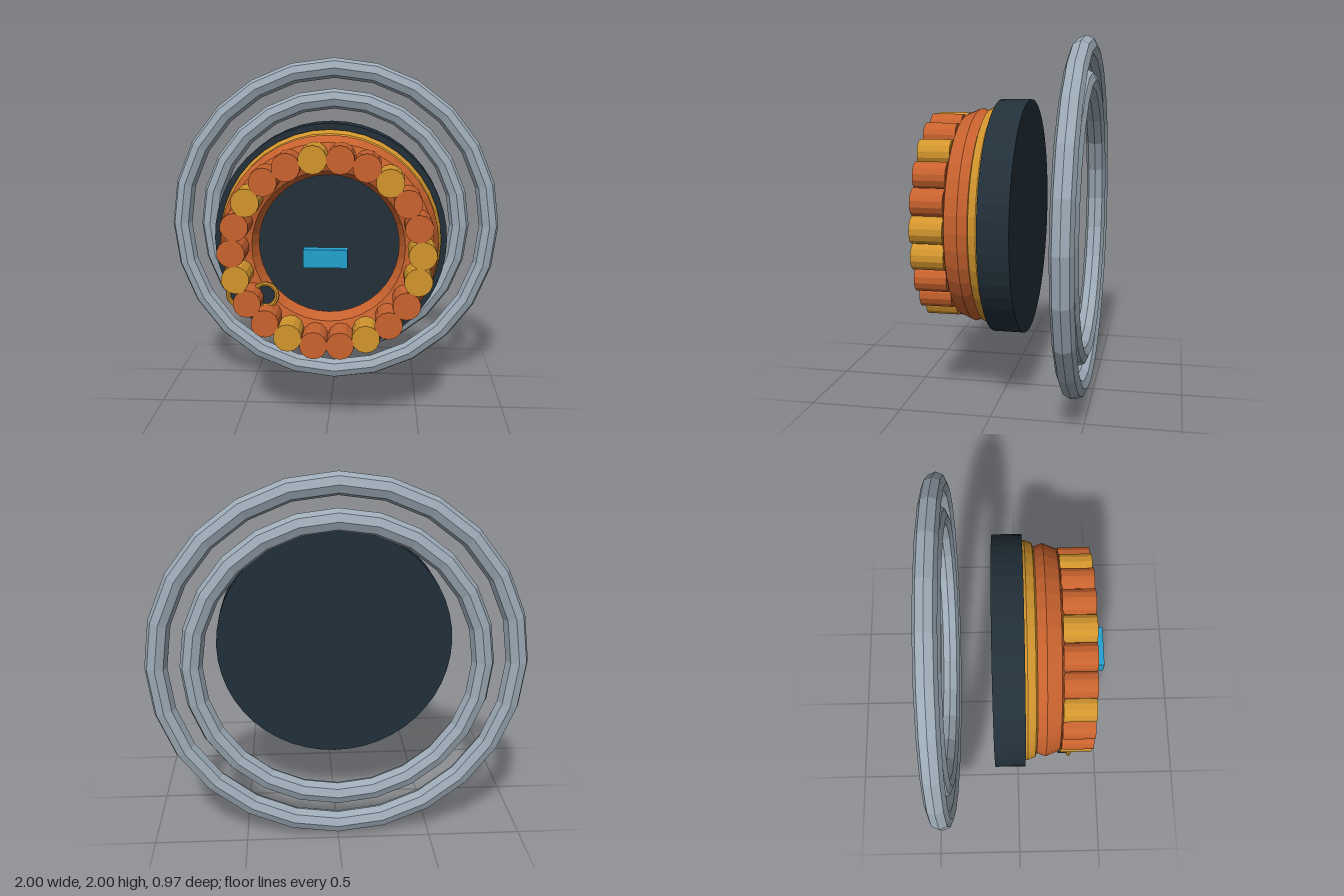
import * as THREE from 'three';

const mat = (name, color) => {
  const m = new THREE.MeshStandardMaterial({ color, flatShading: true });
  m.name = name;
  return m;
};

export function createModel() {
  const model = new THREE.Group();
  model.name = 'ringedDial';
  const core = new THREE.Group();
  core.name = 'dialAssembly';
  core.position.y = 1;
  model.add(core);

  const orange = mat('burntOrange', 0xc8622e);
  const gold = mat('gold', 0xd2952d);
  const dark = mat('darkSlate', 0x22303a);
  const steel = mat('steelGrey', 0x9dabb7);
  const blue = mat('brightBlue', 0x22a2cf);

  const add = (name, geometry, material, x, y, z) => {
    const mesh = new THREE.Mesh(geometry, material);
    mesh.name = name;
    mesh.position.set(x, y, z);
    core.add(mesh);
    return mesh;
  };
  // Cylinder whose axis runs front to back
  const rod = (radius, depth, sides) =>
    new THREE.CylinderGeometry(radius, radius, depth, sides).rotateX(Math.PI / 2);

  // Two floating rings behind the dial
  add('outerRing', new THREE.TorusGeometry(0.94, 0.059, 8, 24), steel, 0, 0, -0.428);
  add('innerRing', new THREE.TorusGeometry(0.76, 0.059, 8, 24), steel, 0, 0, -0.428);

  // Base disc with its gold and orange collars
  add('baseDisc', rod(0.653, 0.165, 48), dark, 0, 0, -0.047);
  add('goldCollar', new THREE.TorusGeometry(0.56, 0.06, 8, 40), gold, 0, 0, 0.048);
  add('orangeCollar', new THREE.TorusGeometry(0.493, 0.108, 8, 40), orange, 0, 0, 0.148);

  // Circle of pegs, every third one gold
  const count = 22;
  const pegGeometry = rod(0.075, 0.175, 14);
  for (let i = 0; i < count; i++) {
    const a = (i / count) * Math.PI * 2;
    add('peg', pegGeometry, i % 3 === 0 ? gold : orange,
      0.503 * Math.cos(a), 0.503 * Math.sin(a), 0.32);
  }

  // Pair of small rimmed lenses set among the pegs
  for (const x of [-0.478, -0.338]) {
    add('lens', rod(0.06, 0.06, 16), dark, x, -0.255, 0.255);
    add('lensRim', new THREE.TorusGeometry(0.063, 0.013, 8, 20), gold, x, -0.255, 0.285);
  }

  // Marker floating in front of the centre
  add('centreMarker', new THREE.BoxGeometry(0.228, 0.095, 0.06), blue, 0, 0, 0.457);

  return model;
}
